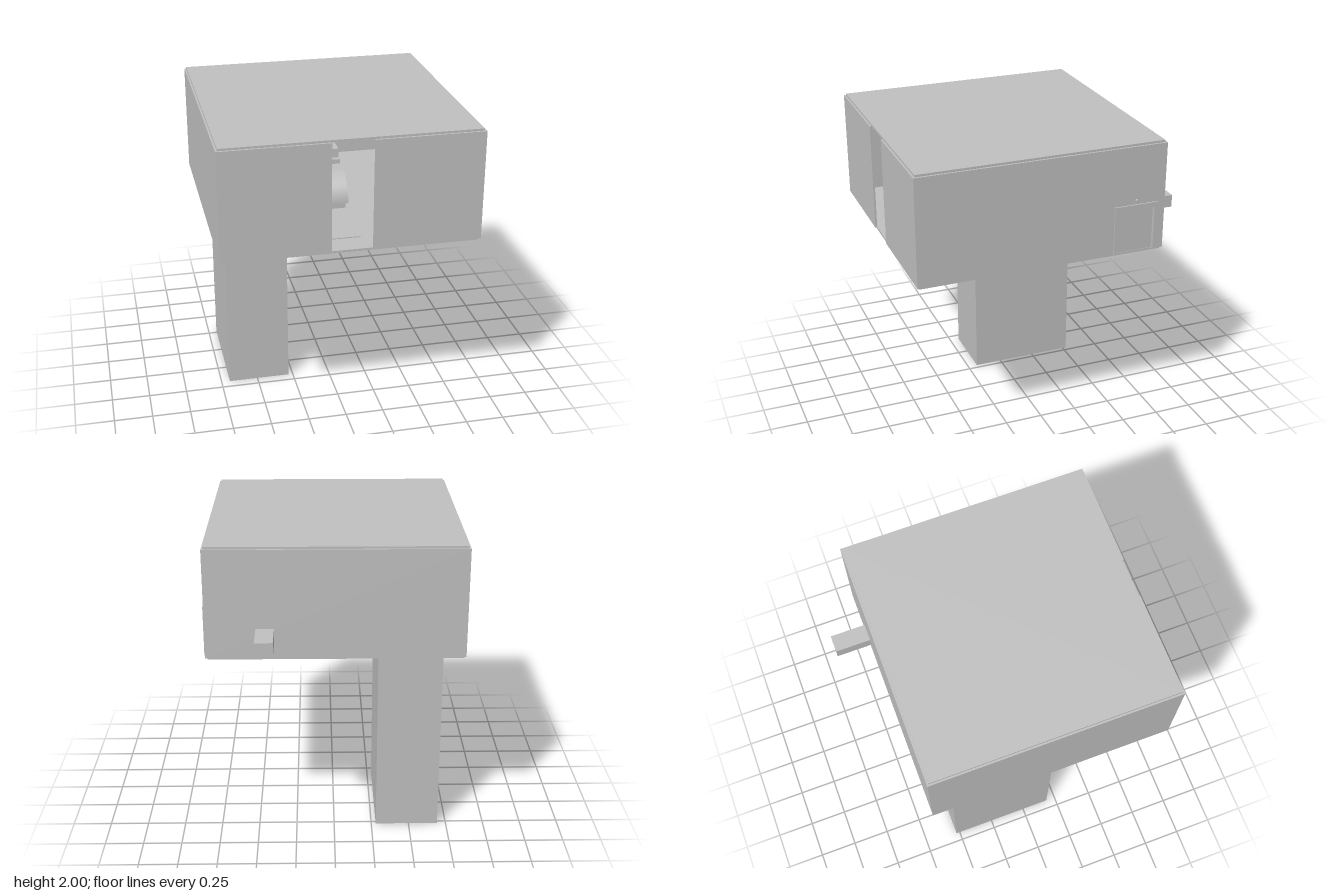
import * as THREE from 'three';

export function createModel() {
  const model = new THREE.Group();
  const grey = new THREE.MeshStandardMaterial({ color: 0xc0c0c0 });
  grey.name = 'plain grey';

  const add = (name, geometry, x, y, z, parent = model) => {
    const mesh = new THREE.Mesh(geometry, grey);
    mesh.name = name;
    mesh.position.set(x, y, z);
    parent.add(mesh);
    return mesh;
  };
  // Box given by its limits on each axis
  const box = (name, [x0, x1], [y0, y1], [z0, z1], parent = model) =>
    add(name, new THREE.BoxGeometry(x1 - x0, y1 - y0, z1 - z0),
      (x0 + x1) / 2, (y0 + y1) / 2, (z0 + z1) / 2, parent);
  const group = (name) => {
    const g = new THREE.Group();
    g.name = name;
    model.add(g);
    return g;
  };

  // Floor and roof slabs, slightly inset from the walls
  const slabX = [-0.803, 0.785], slabZ = [-0.678, 0.908];
  box('floorSlab', slabX, [1.275, 1.29], slabZ);
  box('roofSlab', slabX, [1.985, 2], slabZ);

  // Room walls, with a full-height gap at the front
  const wallY = [1.286, 1.986], t = 0.012;
  const walls = group('walls');
  box('leftOfGapWall', [-0.815, -0.14], wallY, [0.92 - t, 0.92], walls);
  box('rightOfGapWall', [0.117, 0.797], wallY, [0.92 - t, 0.92], walls);
  box('backWall', [-0.815, 0.797], wallY, [-0.69, -0.69 + t], walls);
  box('plainSideWall', [-0.815, -0.815 + t], wallY, [-0.69 + t, 0.92 - t], walls);

  // Side wall pierced by the doorway
  const sideX = [0.797 - t, 0.797], doorZ = [-0.618, -0.372], doorTop = 1.575;
  box('doorWallFront', sideX, wallY, [doorZ[1], 0.92 - t], walls);
  box('doorWallBack', sideX, wallY, [-0.69 + t, doorZ[0]], walls);
  box('doorWallTop', sideX, [doorTop, wallY[1]], doorZ, walls);

  // Door, its frame and the small lamp above
  const door = group('sideDoor');
  const frameX = [0.78, 0.806];
  box('doorLeaf', [0.777, 0.783], [1.288, doorTop], doorZ, door);
  box('frameFront', frameX, [1.288, 1.608], [doorZ[1], -0.35], door);
  box('frameBack', frameX, [1.288, 1.608], [-0.645, doorZ[0]], door);
  box('frameTop', frameX, [doorTop, 1.608], doorZ, door);
  add('doorLamp', new THREE.CylinderGeometry(0.008, 0.008, 0.018, 12), 0.803, 1.635, -0.495, door)
    .rotation.z = Math.PI / 2;

  // Duct sticking out at the back
  box('backDuct', [0.37, 0.483], [1.4, 1.482], [-0.92, -0.68]);

  // Hollow shaft below, open at the foot
  const shaft = group('shaft');
  const sx = [-0.693, -0.28], sz = [-0.525, 0.185], sy = [0, 1.276], st = 0.006;
  box('shaftFront', sx, sy, [sz[1] - st, sz[1]], shaft);
  box('shaftBack', sx, sy, [sz[0], sz[0] + st], shaft);
  box('shaftLeft', [sx[1] - st, sx[1]], sy, [sz[0] + st, sz[1] - st], shaft);
  box('shaftRight', [sx[0], sx[0] + st], sy, [sz[0] + st, sz[1] - st], shaft);

  // Rails and cross bars inside the shaft
  for (const z of [-0.4, -0.17, 0.06])
    box('shaftRail', [sx[1] - 0.016, sx[1] - st], [0.01, 1.27], [z - 0.006, z + 0.006], shaft);
  for (let i = 0; i < 6; i++) {
    const y = 0.12 + i * 0.2;
    box('shaftCrossBar', [sx[1] - 0.012, sx[1] - st], [y, y + 0.01], [sz[0] + st, sz[1] - st], shaft);
    box('shaftRung', [-0.6, -0.37], [y, y + 0.01], [sz[1] - 0.016, sz[1] - st], shaft);
  }

  // Ceiling beams and hanging fan
  const ceiling = group('ceilingFittings');
  box('frontBeam', [-0.8, 0.78], [1.87, 1.92], [0.3, 0.35], ceiling);
  box('rearBeam', [-0.8, 0.78], [1.77, 1.8], [-0.25, -0.2], ceiling);
  add('fanRod', new THREE.CylinderGeometry(0.012, 0.012, 0.05, 12), -0.012, 1.965, 0.55, ceiling);
  for (let i = 0; i < 4; i++) {
    const blade = add('fanBlade', new THREE.BoxGeometry(0.05, 0.005, 0.02), -0.012, 1.955, 0.55, ceiling);
    blade.rotation.y = i * Math.PI / 2;
    blade.translateX(0.026);
  }

  // Post with shelves at the middle of the room
  const shelves = group('shelfStand');
  for (const x of [-0.027, 0.005])
    box('shelfPost', [x - 0.006, x + 0.006], [1.29, 1.985], [-0.1, -0.085], shelves);
  box('upperShelf', [-0.12, 0.095], [1.665, 1.705], [-0.085, 0.02], shelves);
  box('lowerShelf', [-0.12, 0.1], [1.545, 1.605], [-0.085, 0.05], shelves);
  for (const x of [-0.08, 0.065])
    box('shelfBin', [x - 0.045, x + 0.045], [1.5, 1.53], [-0.085, 0.05], shelves);

  // Low bench with a rounded back
  const bench = group('bench');
  add('benchBack', new THREE.CylinderGeometry(0.17, 0.17, 0.4, 24, 1, false, 0, Math.PI / 2),
    -0.095, 1.33, 0.15, bench).rotation.set(0, 0, Math.PI / 2);
  box('benchBody', [-0.295, 0.105], [1.33, 1.49], [0.1, 0.15], bench);
  box('benchBase', [-0.28, 0.09], [1.29, 1.33], [0.1, 0.3], bench);

  // Small table and a stool near the front gap
  const table = group('sideTable');
  box('tableTop', [-0.42, -0.18], [1.42, 1.432], [0.45, 0.65], table);
  for (const x of [-0.41, -0.2])
    for (const z of [0.46, 0.63])
      box('tableLeg', [x, x + 0.012], [1.29, 1.42], [z, z + 0.012], table);
  box('floorMat', [-0.1, 0.08], [1.29, 1.296], [0.5, 0.75]);

  return model;
}
